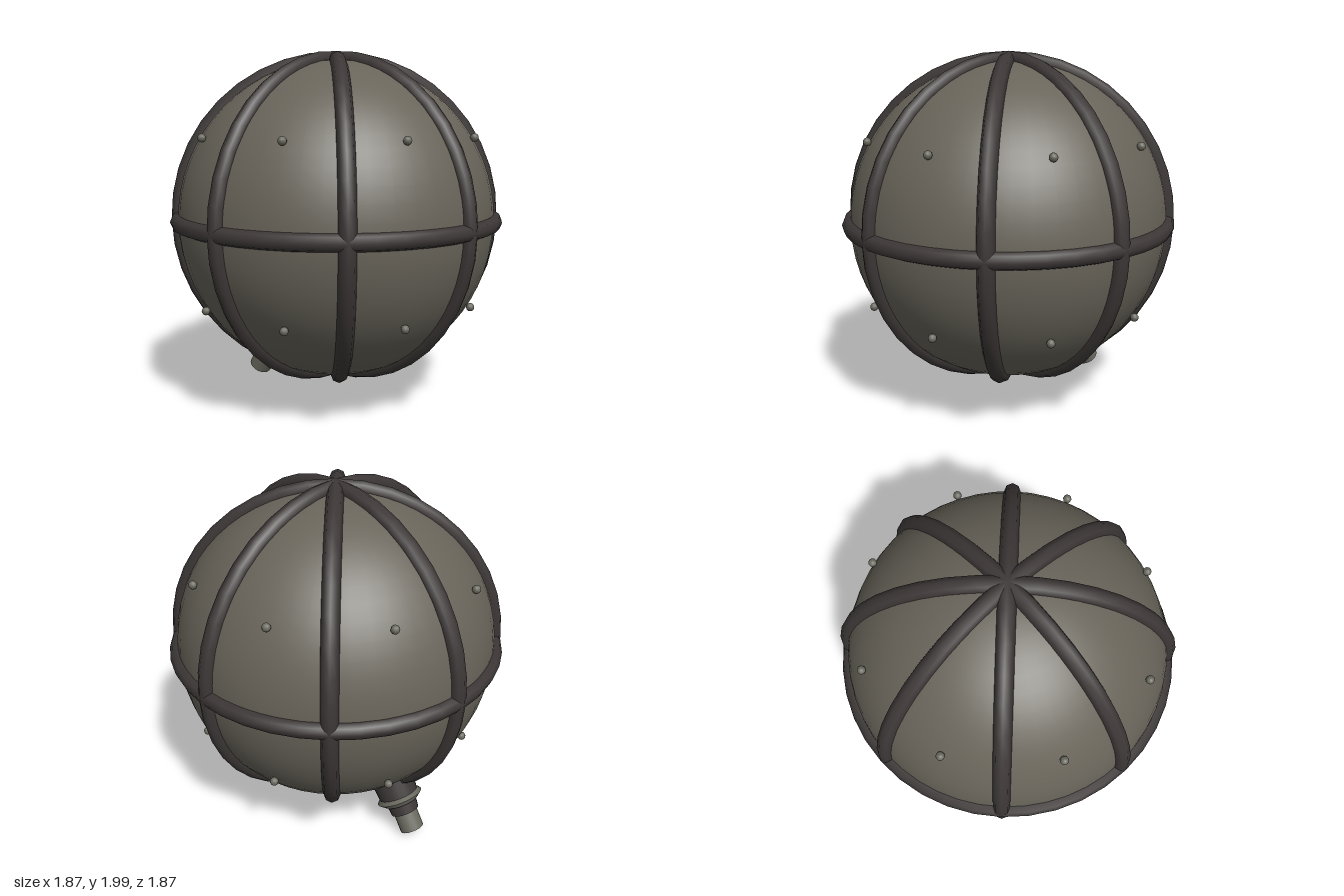
import * as THREE from 'three';

const CENTER_Y = 1.065, SHELL_R = 0.89, RIB_R = 0.045;

function material(name, color) {
  const m = new THREE.MeshStandardMaterial({ color });
  m.name = name;
  return m;
}

export function createModel() {
  const shellMat = material('olive grey shell', 0x68645a);
  const ribMat = material('dark iron', 0x3d3737);
  const metalMat = material('worn metal', 0x6b6a60);

  const model = new THREE.Group();
  model.name = 'ribbedSphere';
  const body = new THREE.Group();
  body.name = 'body';
  body.position.y = CENTER_Y;
  model.add(body);

  const add = (parent, name, geometry, mat) => {
    const mesh = new THREE.Mesh(geometry, mat);
    mesh.name = name;
    parent.add(mesh);
    return mesh;
  };

  // Round shell
  add(body, 'shell', new THREE.SphereGeometry(SHELL_R, 48, 32), shellMat);

  // Four full hoops through the poles, one around the equator
  const hoop = new THREE.TorusGeometry(SHELL_R, RIB_R, 8, 40);
  for (let i = 0; i < 4; i++) {
    add(body, 'meridianRib', hoop, ribMat).rotation.y = (i * Math.PI) / 4;
  }
  add(body, 'equatorRib', hoop, ribMat).rotation.x = Math.PI / 2;

  // Rivets in the middle of each panel
  const rivet = new THREE.SphereGeometry(0.023, 10, 8);
  for (const side of [1, -1]) {
    for (let i = 0; i < 8; i++) {
      const a = ((i + 0.5) * Math.PI) / 4;
      add(body, 'rivet', rivet, metalMat)
        .position.set(0.782 * Math.cos(a), side * 0.465, 0.782 * Math.sin(a));
    }
  }

  // Nozzle pointing radially down and back; local +y runs outward
  const nozzle = new THREE.Group();
  nozzle.name = 'nozzle';
  nozzle.quaternion.setFromUnitVectors(
    new THREE.Vector3(0, 1, 0), new THREE.Vector3(0, -0.842, -0.539).normalize());
  body.add(nozzle);
  const ring = (name, rInner, rOuter, from, to, mat) => {
    add(nozzle, name, new THREE.CylinderGeometry(rOuter, rInner, to - from, 20), mat)
      .position.y = (from + to) / 2;
  };
  ring('nozzleBase', 0.13, 0.115, 0.82, 0.99, ribMat);
  ring('flangeInner', 0.11, 0.135, 0.985, 1.01, metalMat);
  ring('flangeOuter', 0.135, 0.1, 1.01, 1.04, metalMat);
  ring('nozzleNeck', 0.09, 0.082, 1.03, 1.1, ribMat);
  ring('spout', 0.069, 0.069, 1.09, 1.213, metalMat);

  return model;
}
